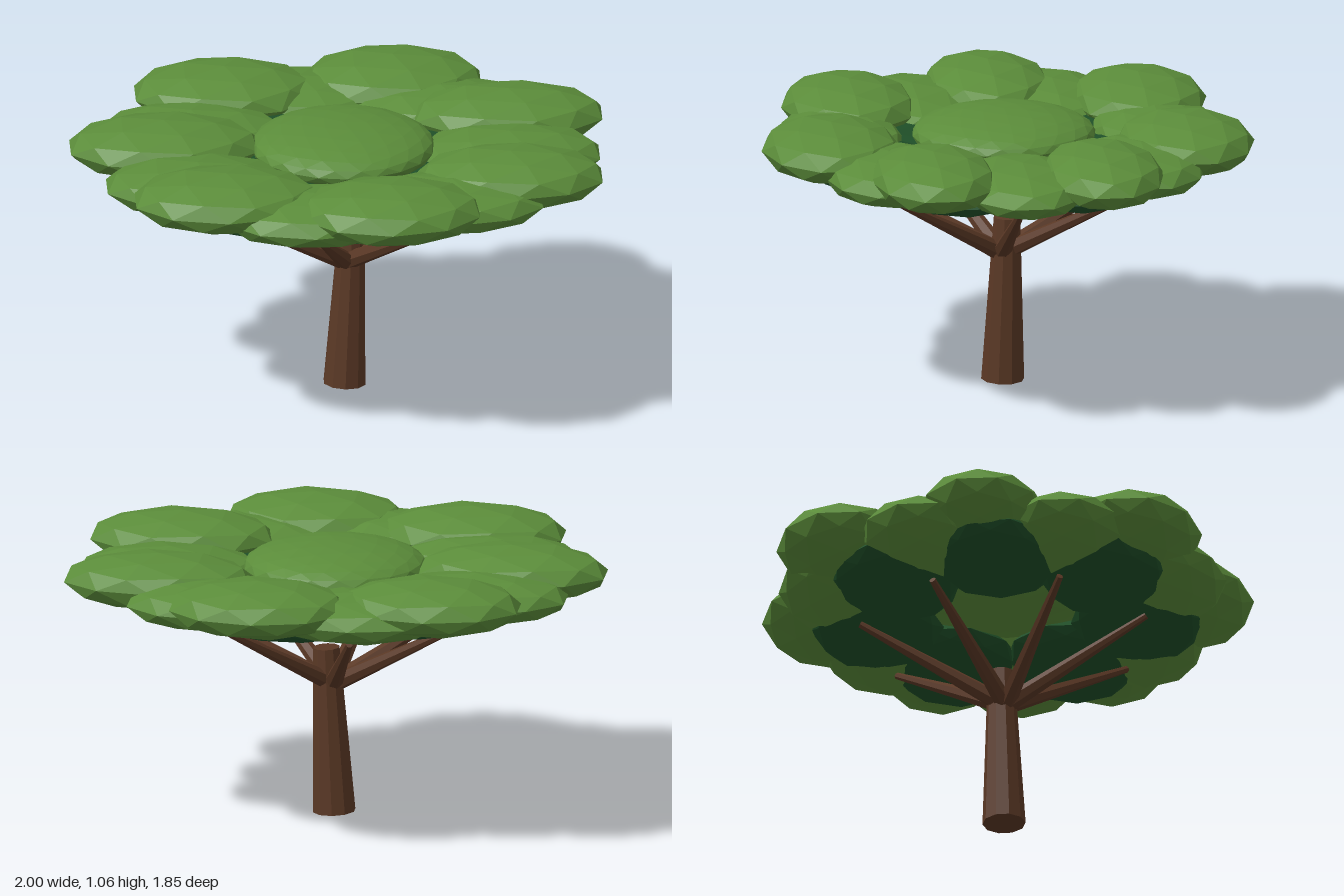
import * as THREE from 'three';

const material = (name, color) => {
  const m = new THREE.MeshStandardMaterial({ color });
  m.name = name;
  return m;
};

// Faceted sphere with a vertex at each pole and a flat equator ring
function blobGeometry(detail) {
  const g = new THREE.IcosahedronGeometry(1, detail);
  g.rotateZ(Math.atan2(2, 1 + Math.sqrt(5)));
  g.rotateY(Math.PI);
  return g;
}

export function createModel() {
  const bark = material('bark brown', 0x5a3825);
  const leaf = material('leaf green', 0x5b8c3a);
  const shade = material('deep green', 0x1f4f28);
  const tree = new THREE.Group();
  tree.name = 'flatTopTree';

  // Flattened leaf clump; the geometry is scaled so the facets stay flat
  function clump(name, mat, detail, [x, y, z], [rx, ry, rz]) {
    const g = blobGeometry(detail).scale(rx, ry, rz);
    g.computeVertexNormals();
    const mesh = new THREE.Mesh(g, mat);
    mesh.name = name;
    mesh.position.set(x, y, z);
    tree.add(mesh);
  }

  // Tapered, faceted limb between two points
  function limb(name, from, to, r0, r1, sides) {
    const a = new THREE.Vector3(...from), b = new THREE.Vector3(...to);
    const dir = b.clone().sub(a);
    const g = new THREE.CylinderGeometry(r1, r0, dir.length(), sides).toNonIndexed();
    g.computeVertexNormals();
    const mesh = new THREE.Mesh(g, bark);
    mesh.name = name;
    mesh.position.copy(a).add(b).multiplyScalar(0.5);
    mesh.quaternion.setFromUnitVectors(new THREE.Vector3(0, 1, 0), dir.normalize());
    tree.add(mesh);
  }

  // Leaning trunk
  limb('trunk', [0.025, 0.006, -0.005], [0.053, 0.64, -0.018], 0.081, 0.05, 10);

  // Seven spokes: a branch and a low clump, with a shaded clump between them
  const count = 7;
  const step = (Math.PI * 2) / count;
  for (let i = 0; i < count; i++) {
    const a = i * step, b = a + step / 2;
    const c = Math.cos(a), s = Math.sin(a);
    limb('branch', [0.03, 0.495, 0], [0.03 + 0.55 * c, 0.79, 0.55 * s], 0.036, 0.013, 7);
    clump('lowerClump', leaf, 1, [0.02 + 0.62 * c, 0.915, 0.61 * s], [0.355, 0.093, 0.245]);
    clump('shadedClump', shade, 1,
      [0.02 + 0.5 * Math.cos(b), 0.873, 0.5 * Math.sin(b)], [0.34, 0.073, 0.25]);
  }

  // Large outer clumps: x, z, half width, half depth
  const outer = [
    [0.63, 0.335, 0.36, 0.24],
    [0.165, 0.66, 0.35, 0.262],
    [-0.44, 0.515, 0.358, 0.255],
    [-0.65, -0.035, 0.368, 0.245],
    [-0.4, -0.57, 0.35, 0.258],
    [0.235, -0.665, 0.345, 0.262],
    [0.65, -0.3, 0.368, 0.232],
  ];
  for (const [x, z, rx, rz] of outer) {
    clump('outerClump', leaf, 1, [x, 0.955, z], [rx, 0.105, rz]);
  }

  // Round clump in the middle
  clump('centreClump', leaf, 3, [0.02, 0.955, -0.01], [0.345, 0.095, 0.345]);
  return tree;
}
